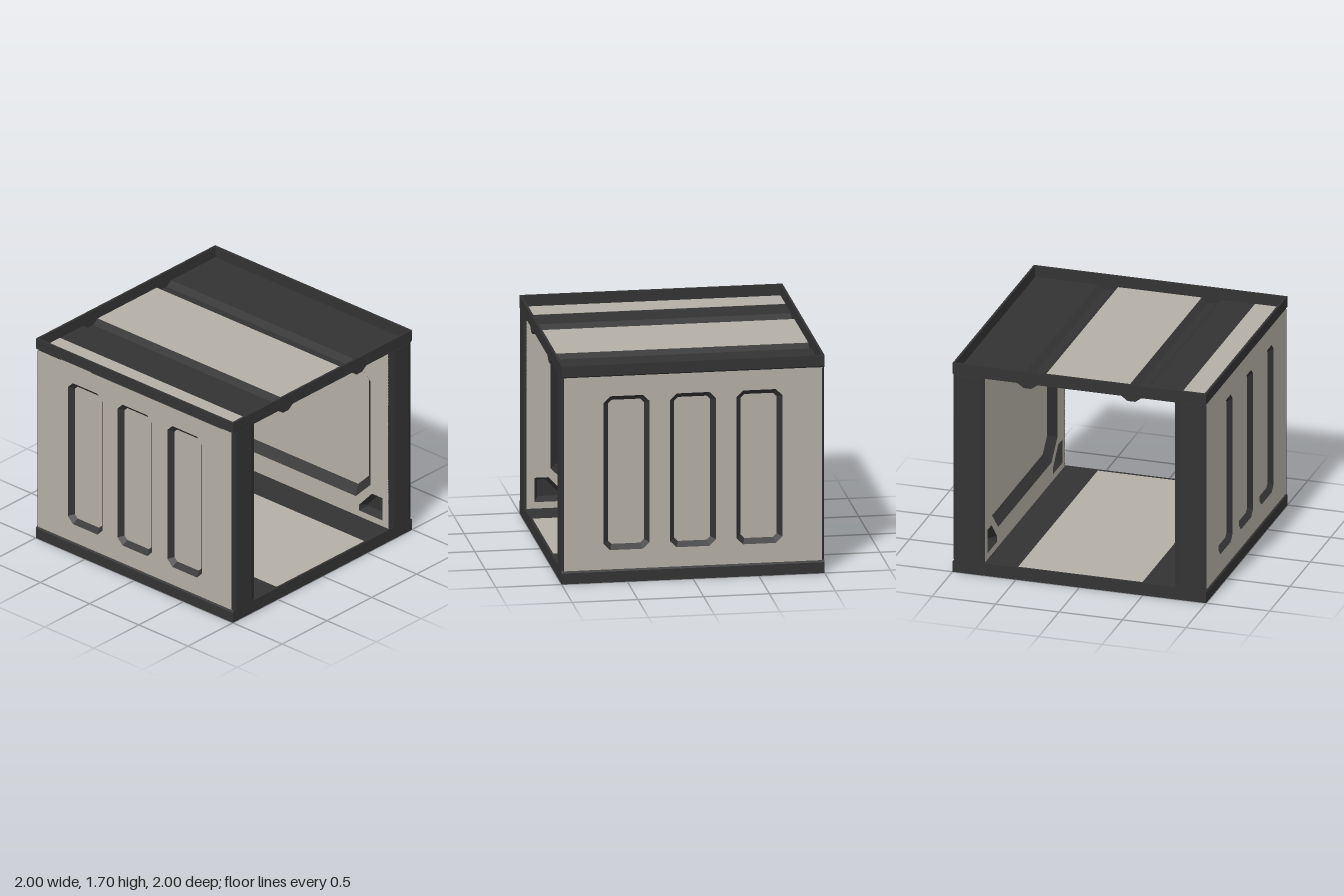
import * as THREE from 'three';

const light = new THREE.MeshStandardMaterial({ color: 0xb4afa5, side: THREE.DoubleSide });
light.name = 'warm grey panel';
const dark = new THREE.MeshStandardMaterial({ color: 0x333333, side: THREE.DoubleSide });
dark.name = 'charcoal frame';

const vecs = (pts) => pts.map(([x, y]) => new THREE.Vector2(x, y));

function add(parent, name, geometry, material) {
  const mesh = new THREE.Mesh(geometry, material);
  mesh.name = name;
  parent.add(mesh);
  return mesh;
}

function box(parent, name, material, [x0, x1], [y0, y1], [z0, z1]) {
  const g = new THREE.BoxGeometry(x1 - x0, y1 - y0, z1 - z0);
  g.translate((x0 + x1) / 2, (y0 + y1) / 2, (z0 + z1) / 2);
  return add(parent, name, g, material);
}

// Rectangle with cut corners, counter-clockwise, shrunk by t
function cutRect(x0, x1, y0, y1, cut, t = 0) {
  const c = cut - t * (2 - Math.SQRT2);
  x0 += t; x1 -= t; y0 += t; y1 -= t;
  return [[x0 + c, y0], [x1 - c, y0], [x1, y0 + c], [x1, y1 - c],
    [x1 - c, y1], [x0 + c, y1], [x0, y1 - c], [x0, y0 + c]];
}

// Flat-shaded band joining an outer loop at z0 to an inner loop at z1
function band(outer, inner, z0, z1) {
  const p = [];
  outer.forEach((a, i) => {
    const j = (i + 1) % outer.length;
    const A = [...a, z0], B = [...outer[j], z0], C = [...inner[j], z1], D = [...inner[i], z1];
    p.push(...A, ...B, ...C, ...A, ...C, ...D);
  });
  const g = new THREE.BufferGeometry();
  g.setAttribute('position', new THREE.Float32BufferAttribute(p, 3));
  g.computeVertexNormals();
  return g;
}

// Panel facing +z with sunken recesses
function panel(name, z, recesses) {
  const group = new THREE.Group();
  group.name = name;
  const shape = new THREE.Shape(vecs([[-0.985, 0.1], [0.985, 0.1], [0.985, 1.605], [-0.985, 1.605]]));
  recesses.forEach(({ outer, inner, depth, floor }) => {
    shape.holes.push(new THREE.Path(vecs(outer)));
    add(group, 'recessBevel', band(outer, inner, z, z - depth), dark);
    const back = new THREE.ShapeGeometry(new THREE.Shape(vecs(inner)));
    add(group, 'recessFloor', back.translate(0, 0, z - depth), floor);
  });
  add(group, 'panelFace', new THREE.ShapeGeometry(shape).translate(0, 0, z), light);
  return group;
}

function wall(name) {
  const group = new THREE.Group();
  group.name = name;

  // Outside: three tall slots
  const slots = [-0.505, 0, 0.505].map((x) => {
    const r = [x - 0.175, x + 0.175, 0.25, 1.45, 0.05];
    return { outer: cutRect(...r), inner: cutRect(...r, 0.038), depth: 0.037, floor: light };
  });
  group.add(panel('outerPanel', 0.994, slots));

  // Inside: one large bay and a small tapered socket in each lower corner
  const bay = [-0.805, 0.805, 0.26, 1.44, 0.15];
  const outer = [[0.69, 0.15], [0.925, 0.15], [0.925, 0.34], [0.82, 0.34], [0.69, 0.2]];
  const inner = [[0.72, 0.18], [0.895, 0.18], [0.895, 0.31], [0.833, 0.31], [0.72, 0.188]];
  const mirror = (pts) => pts.map(([x, y]) => [-x, y]).reverse();
  const inside = panel('innerPanel', -0.75, [
    { outer: cutRect(...bay), inner: cutRect(...bay, 0.07), depth: 0.06, floor: light },
    { outer, inner, depth: 0.06, floor: dark },
    { outer: mirror(outer), inner: mirror(inner), depth: 0.06, floor: dark },
  ]);
  inside.rotation.y = Math.PI;
  group.add(inside);

  // Chamfered end posts
  for (const s of [-1, 1]) {
    const section = [[0.97, 0.75], [0.985, 0.75], [1, 0.8], [1, 0.96], [0.985, 0.996], [0.97, 0.985]];
    const shape = new THREE.Shape(vecs(section.map(([x, z]) => [s * x, z])));
    const g = new THREE.ExtrudeGeometry(shape, { depth: 1.5, bevelEnabled: false });
    add(group, 'endPost', g.rotateX(Math.PI / 2).translate(0, 1.6, 0), dark);
  }
  return group;
}

// Extrude a z-y outline along x between x0 and x1
function alongX(points, x0, x1) {
  const shape = new THREE.Shape(vecs(points.map(([z, y]) => [-z, y])));
  const g = new THREE.ExtrudeGeometry(shape, { depth: x1 - x0, bevelEnabled: false });
  return g.rotateY(Math.PI / 2).translate(x0, 0, 0);
}

export function createModel() {
  const model = new THREE.Group();
  model.name = 'corridorModule';

  const front = wall('frontWall');
  const back = wall('backWall');
  back.rotation.y = Math.PI;
  model.add(front, back);

  // Channel line across the roof, from -z to +z
  const channel = (s, y) => [[0.49, y], [0.44, y - 0.036], [0.38, y - 0.036], [0.33, y]].map(([z, h]) => [s * z, h]);
  const fold = (y) => [...channel(-1, y), ...channel(1, y).reverse()];

  const rim = new THREE.Group();
  rim.name = 'rims';
  model.add(rim);
  for (const s of [-1, 1]) {
    const span = s > 0 ? [0.983, 1] : [-1, -0.983];
    // Roof ends follow the channels, floor ends are plain
    add(rim, 'roofEndRim', alongX([[-1, 1.7], [-1, 1.615], [-0.985, 1.603], ...fold(1.603),
      [0.985, 1.603], [1, 1.615], [1, 1.7]], ...span), dark);
    add(rim, 'floorEndRim', alongX([[-1, 0], [1, 0], [1, 0.085], [0.985, 0.1],
      [-0.985, 0.1], [-1, 0.085]], ...span), dark);
    // Long rims at front and back, chamfered toward the wall
    const side = (pts) => alongX(pts.map(([z, y]) => [s * z, y]), -0.983, 0.983);
    add(rim, 'roofSideRim', side([[0.983, 1.7], [1, 1.7], [1, 1.615], [0.983, 1.603]]), dark);
    add(rim, 'floorSideRim', side([[0.983, 0], [1, 0], [1, 0.085], [0.983, 0.1]]), dark);
  }

  const X = [-0.984, 0.984];
  // Roof: light centre, folded channels, dark sides
  box(model, 'roofCentre', light, X, [1.605, 1.611], [-0.33, 0.33]);
  for (const s of [-1, 1]) {
    const top = channel(s, 1.611), under = channel(s, 1.605).reverse();
    add(model, 'roofChannel', alongX([...top, ...under], ...X), dark);
    box(model, 'roofSide', dark, X, [1.605, 1.611], s > 0 ? [0.49, 0.984] : [-0.984, -0.49]);
  }
  box(model, 'frontRoofStrip', light, X, [1.611, 1.613], [0.75, 0.984]);

  // Floor: light centre between dark sides
  box(model, 'floorCentre', light, X, [0.09, 0.097], [-0.49, 0.49]);
  box(model, 'floorSideFront', dark, X, [0.09, 0.097], [0.49, 0.984]);
  box(model, 'floorSideBack', dark, X, [0.09, 0.097], [-0.984, -0.49]);

  return model;
}
